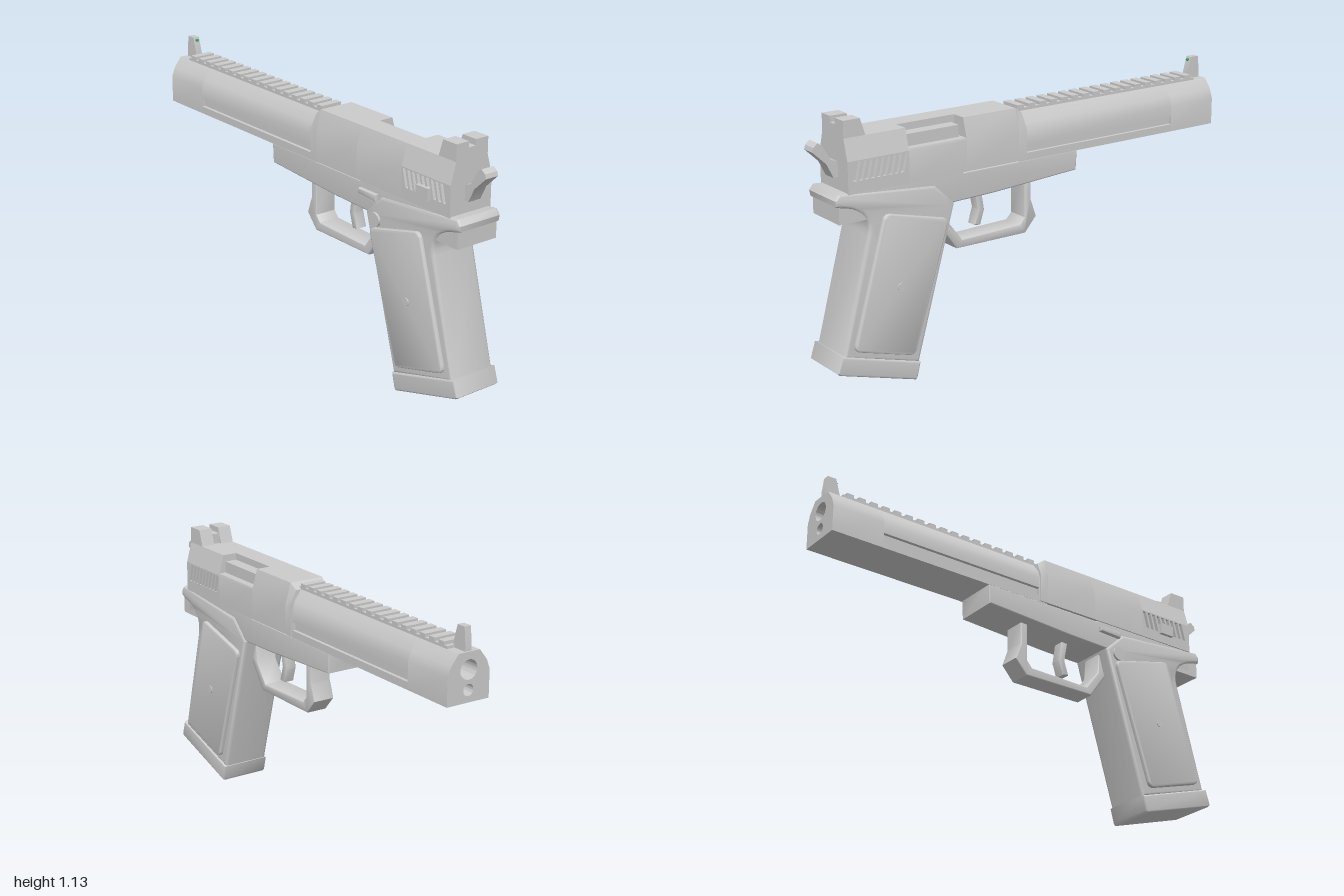
import * as THREE from 'three';
import { toCreasedNormals } from 'three/addons/utils/BufferGeometryUtils.js';

const grey = new THREE.MeshStandardMaterial({ color: 0xcccccc });
const green = new THREE.MeshStandardMaterial({ color: 0x3fae6a });

export function createModel() {
  const model = new THREE.Group();

  const add = (name, geo, material = grey) => {
    const mesh = new THREE.Mesh(toCreasedNormals(geo, 0.6), material);
    mesh.name = name;
    model.add(mesh);
    return mesh;
  };

  // Side profile given as [z, y] points, extruded across x from x0 to x1
  const profile = (pts) => new THREE.Shape(pts.map(([z, y]) => new THREE.Vector2(-z, y)));
  const side = (name, shape, x0, x1, bevel = 0) => {
    const geo = new THREE.ExtrudeGeometry(Array.isArray(shape) ? profile(shape) : shape, {
      depth: x1 - x0 - 2 * bevel, bevelEnabled: bevel > 0, bevelThickness: bevel,
      bevelSize: bevel, bevelOffset: -bevel, bevelSegments: 4, curveSegments: 8,
    });
    return add(name, geo.translate(0, 0, x0 + bevel).rotateY(Math.PI / 2));
  };

  // Cross-section given as [x, y] points, extruded along z from z0 to z1
  const mirror = (half) => [...half, ...half.map(([x, y]) => [-x, y]).reverse()];
  const section = (pts, z0, z1, holes = []) => {
    const shape = new THREE.Shape(pts.map(([x, y]) => new THREE.Vector2(x, y)));
    for (const [y, r] of holes) shape.holes.push(new THREE.Path().absarc(0, y, r, 0, Math.PI * 2, true));
    return new THREE.ExtrudeGeometry(shape, { depth: z1 - z0, bevelEnabled: false, curveSegments: 24 })
      .translate(0, 0, z0);
  };

  const box = (name, x0, x1, y0, y1, z0, z1, material) =>
    add(name, new THREE.BoxGeometry(x1 - x0, y1 - y0, z1 - z0)
      .translate((x0 + x1) / 2, (y0 + y1) / 2, (z0 + z1) / 2), material);

  const disc = (name, x0, x1, y, z, r) =>
    add(name, new THREE.CylinderGeometry(r, r, Math.abs(x1 - x0), 24)
      .rotateZ(Math.PI / 2).translate((x0 + x1) / 2, y, z));

  // Front slide: solid muzzle with two bores, then a grooved length
  const upper = [[0.1, 0.95], [0.085, 0.99], [0.05, 1.035]];
  const barrel = mirror([[0.1, 0.835], ...upper]);
  const grooved = mirror([[0.1, 0.835], [0.1, 0.867], [0.085, 0.867], [0.085, 0.903], [0.1, 0.903], ...upper]);
  add('muzzle', section(barrel, -1, -0.76, [[0.965, 0.04], [0.885, 0.024]]));
  add('groovedBarrel', section(grooved, -0.76, 0.03));
  add('barrelRear', section(barrel, 0.03, 0.07));

  // Top rib with cross teeth
  box('topRib', -0.05, 0.05, 1.02, 1.046, -0.93, 0.07);
  for (let i = 0; i < 17; i++) {
    const z = 0.025 - i * 0.0575;
    box('ribTooth', -0.05, 0.05, 1.04, 1.06, z - 0.017, z + 0.017);
  }

  // Rear slide in lengths: sloped front, solid, ejection port, serrated end
  const slide = mirror([[0.105, 0.84], [0.105, 0.97], [0.08, 1.06]]);
  const nose = section(slide, 0.035, 0.075);
  const p = nose.attributes.position;
  for (let i = 0; i < p.count; i++) {
    if (p.getZ(i) < 0.05 && p.getY(i) > 1) p.setXYZ(i, p.getX(i) * 0.95, 1.035, 0.04);
  }
  add('slideNose', nose);
  add('slideMiddle', section(slide, 0.075, 0.335));
  add('slideAtPort', section([[0.105, 0.84], [0.105, 0.97], [0.102, 0.98], [0.015, 0.98],
    [0.015, 1.06], [-0.08, 1.06], [-0.105, 0.97], [-0.105, 0.84]], 0.335, 0.61));
  box('chamber', 0.015, 0.07, 0.975, 1.03, 0.35, 0.61);
  add('slideRear', section(mirror([[0.09, 0.84], [0.09, 0.97], [0.105, 0.97], [0.08, 1.06]]), 0.61, 0.89));
  const plate = profile([[0.89, 0.84], [0.61, 0.84], [0.61, 0.972], [0.89, 0.972]]);
  for (let i = 0; i < 9; i++) {
    const z = 0.858 - i * 0.027;
    plate.holes.push(profile([[z + 0.008, 0.89], [z - 0.008, 0.89], [z - 0.026, 0.966], [z - 0.01, 0.966]]));
  }
  side('serrationRight', plate, 0.088, 0.105);
  side('serrationLeft', plate, -0.105, -0.088);

  // Sights
  const sight = [[0.89, 1.055], [0.79, 1.055], [0.815, 1.13], [0.89, 1.13]];
  side('rearSight', sight, 0.018, 0.08);
  side('rearSight', sight, -0.08, -0.018);
  box('rearSightBridge', -0.02, 0.02, 1.055, 1.105, 0.805, 0.89);
  side('frontSight', [[-0.925, 1.02], [-0.925, 1.06], [-0.945, 1.13], [-0.985, 1.13], [-0.993, 1.06], [-0.993, 1.02]],
    -0.015, 0.015);
  add('frontSightDot', new THREE.CylinderGeometry(0.006, 0.006, 0.012, 16).rotateX(Math.PI / 2)
    .translate(0, 1.117, -0.938), green);

  // Hammer
  side('hammer', [[0.86, 0.9], [0.91, 0.895], [0.94, 0.955], [1.0, 1.012], [0.995, 1.03], [0.975, 1.045],
    [0.955, 1.03], [0.92, 0.97], [0.86, 0.95]], -0.031, 0.031);

  // Frame
  side('frame', [[0.89, 0.85], [0.89, 0.74], [0.4, 0.72], [0.2, 0.725], [-0.23, 0.75], [-0.235, 0.838], [0.35, 0.838], [0.35, 0.85]],
    -0.1, 0.1, 0.006);
  box('tangBlock', -0.1, 0.1, 0.725, 0.8, 0.79, 0.932);

  // Grip with a curved tang
  const grip = profile([[0.93, 0.848], [0.95, 0.825], [0.945, 0.8], [0.925, 0.79]]);
  grip.bezierCurveTo(-0.85, 0.78, -0.79, 0.74, -0.805, 0.66);
  for (const [z, y] of [[0.935, 0.17], [0.58, 0.07], [0.395, 0.72], [0.49, 0.81]]) grip.lineTo(-z, y);
  side('grip', grip, -0.107, 0.107, 0.016);

  // Rounded grip panels with a centre screw
  const corners = [[0.735, 0.74], [0.435, 0.665], [0.608, 0.113], [0.893, 0.195]]
    .map(([z, y]) => new THREE.Vector2(-z, y));
  const panel = new THREE.Shape();
  corners.forEach((c, i) => {
    const prev = corners[(i + 3) % 4], next = corners[(i + 1) % 4];
    const a = c.clone().add(prev.clone().sub(c).setLength(0.03));
    const b = c.clone().add(next.clone().sub(c).setLength(0.03));
    if (i) panel.lineTo(a.x, a.y); else panel.moveTo(a.x, a.y);
    panel.quadraticCurveTo(c.x, c.y, b.x, b.y);
  });
  panel.closePath();
  for (const s of [1, -1]) {
    side('gripPanel', panel, s > 0 ? 0.09 : -0.124, s > 0 ? 0.124 : -0.09, 0.008);
    disc('gripScrew', s * 0.11, s * 0.128, 0.425, 0.672, 0.017);
  }

  // Magazine base
  side('magazineBase', [[0.945, 0.185], [0.967, 0.115], [0.955, 0.105], [0.6, 0], [0.592, 0.008], [0.575, 0.075]],
    -0.112, 0.112, 0.01);

  // Trigger guard and trigger
  side('triggerGuard', [[0.4, 0.735], [0.47, 0.68], [0.43, 0.61], [0.35, 0.5], [0, 0.5], [-0.057, 0.565], [-0.03, 0.64],
    [-0.03, 0.75], [0.005, 0.75], [0.005, 0.57], [0.03, 0.542], [0.325, 0.535], [0.39, 0.62]], -0.05, 0.05, 0.006);
  side('trigger', [[0.245, 0.74], [0.225, 0.64], [0.245, 0.575], [0.215, 0.57], [0.195, 0.635], [0.212, 0.74]],
    -0.025, 0.025, 0.004);

  // Controls on one side only
  box('safetyLever', -0.12, -0.09, 0.88, 0.93, 0.71, 0.78);
  side('slideCatch', [[0.47, 0.785], [0.36, 0.79], [0.36, 0.812], [0.47, 0.812]], -0.117, -0.09, 0.004);
  disc('magazineRelease', -0.117, -0.09, 0.705, 0.46, 0.03);

  return model;
}
